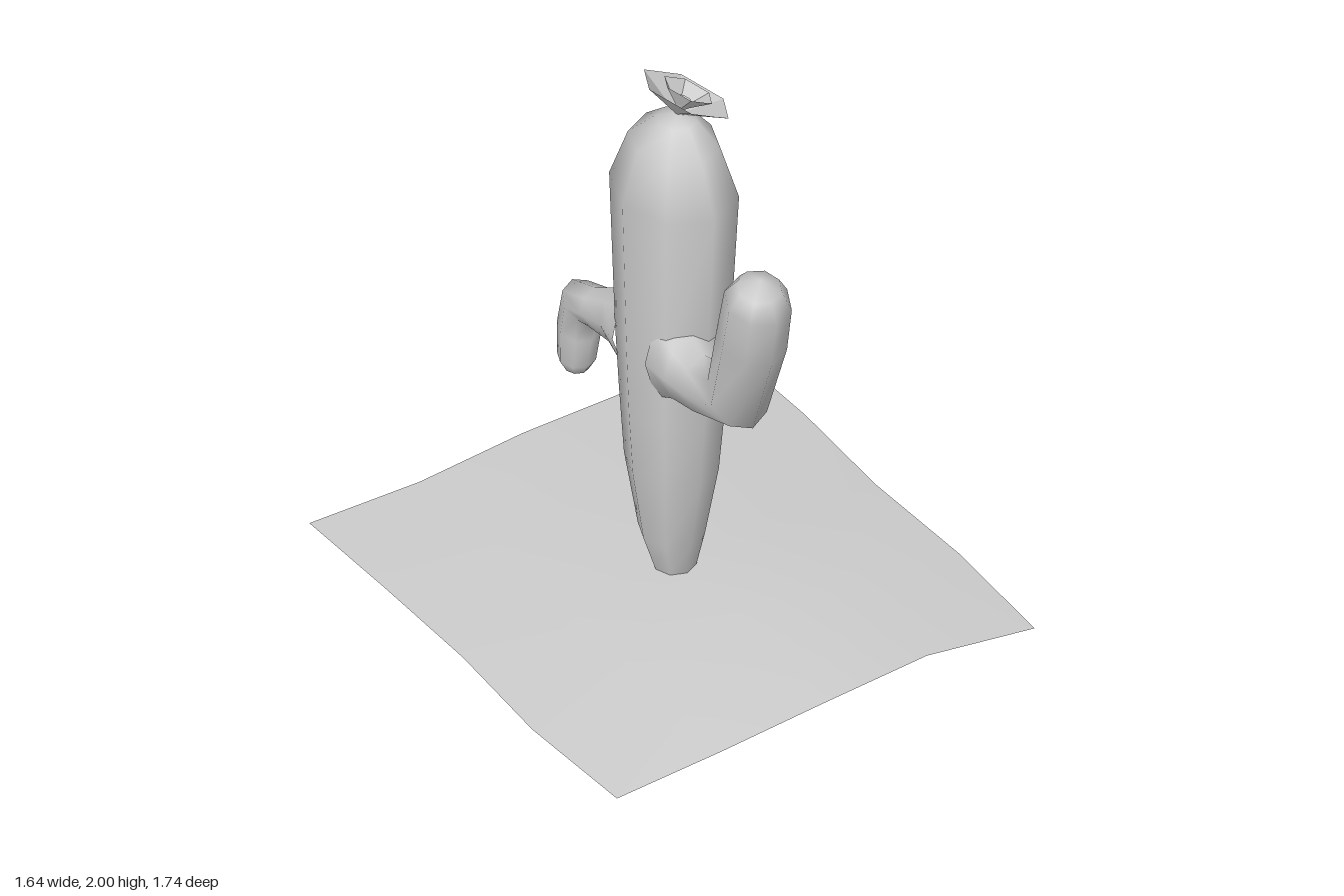
import * as THREE from 'three';
import { mergeVertices } from 'three/addons/utils/BufferGeometryUtils.js';

const material = new THREE.MeshStandardMaterial({ color: 0xcccccc });
const sheetMaterial = new THREE.MeshStandardMaterial({ color: 0xcccccc, side: THREE.DoubleSide });
const petalMaterial = new THREE.MeshStandardMaterial({ color: 0xcccccc, side: THREE.DoubleSide, flatShading: true });

// Eight-sided smooth limb through sections [x, y, z, halfWidthX, halfWidthAcross].
// The path bends in the y-z plane; an upright limb keeps its rings level.
function limb(name, sections, upright = false, sides = 8) {
  const positions = [], index = [];
  const last = sections.length - 1;
  sections.forEach(([x, y, z, rx, rn], i) => {
    const a = sections[Math.max(i - 1, 0)], b = sections[Math.min(i + 1, last)];
    const t = upright ? new THREE.Vector2(1, 0) : new THREE.Vector2(b[1] - a[1], b[2] - a[2]).normalize();
    for (let j = 0; j < sides; j++) {
      const angle = (j / sides) * Math.PI * 2;
      const u = Math.cos(angle) * rx, v = Math.sin(angle) * rn;
      positions.push(x + u, y + v * t.y, z - v * t.x);
      if (i < last) {
        const k = (j + 1) % sides;
        const p = i * sides + j, q = i * sides + k;
        if (rx > 0) index.push(p, q, q + sides);
        if (sections[i + 1][3] > 0) index.push(p, q + sides, p + sides);
      }
    }
  });
  let geometry = new THREE.BufferGeometry();
  geometry.setAttribute('position', new THREE.Float32BufferAttribute(positions, 3));
  geometry.setIndex(index);
  geometry = mergeVertices(geometry, 1e-5);
  geometry.computeVertexNormals();
  const mesh = new THREE.Mesh(geometry, material);
  mesh.name = name;
  return mesh;
}

// Gently humped patch of sand with wavy edges
function ground() {
  const heights = [
    [0.01, 0.03, 0.05, 0.05, 0.04],
    [0.02, 0.05, 0.08, 0.08, 0.05],
    [0.02, 0.06, 0.10, 0.09, 0.05],
    [0.02, 0.07, 0.11, 0.09, 0.03],
    [0.005, 0.02, 0.04, 0.05, 0.0],
  ];
  const left = [-0.82, -0.81, -0.8, -0.82, -0.78], right = [0.77, 0.78, 0.77, 0.81, 0.82];
  const back = [-0.87, -0.84, -0.855, -0.86, -0.875], front = [0.865, 0.855, 0.84, 0.82, 0.83];
  const geometry = new THREE.PlaneGeometry(2, 2, 4, 4);
  const p = geometry.attributes.position;
  for (let i = 0; i < p.count; i++) {
    const c = i % 5, r = Math.floor(i / 5);
    p.setXYZ(i,
      THREE.MathUtils.lerp(left[r], right[r], c / 4),
      heights[r][c],
      THREE.MathUtils.lerp(back[c], front[c], r / 4));
  }
  geometry.computeVertexNormals();
  const mesh = new THREE.Mesh(geometry, sheetMaterial);
  mesh.name = 'ground';
  return mesh;
}

// Six-sided petal cup turned from a short profile
function cup(name, profile) {
  const points = profile.map(([r, y]) => new THREE.Vector2(r, y));
  const mesh = new THREE.Mesh(new THREE.LatheGeometry(points, 6, Math.PI / 2), petalMaterial);
  mesh.name = name;
  return mesh;
}

export function createModel() {
  const model = new THREE.Group();
  model.name = 'cactus';

  model.add(ground());

  model.add(limb('trunk', [
    [-0.02, 0, 0.02, 0, 0],
    [-0.02, 0.03, 0.02, 0.045, 0.045],
    [-0.02, 0.1, 0.02, 0.07, 0.08],
    [-0.025, 0.23, 0.015, 0.105, 0.115],
    [-0.025, 0.5, 0.015, 0.145, 0.168],
    [-0.022, 0.75, 0.015, 0.163, 0.187],
    [-0.017, 1.0, 0.008, 0.173, 0.207],
    [-0.005, 1.58, 0, 0.195, 0.235],
    [-0.005, 1.76, 0, 0.14, 0.165],
    [0.005, 1.84, 0, 0.065, 0.07],
    [0.005, 1.86, 0, 0, 0],
  ], true));

  // Large arm rising at the front, flared where it leaves the trunk
  model.add(limb('frontArm', [
    [-0.05, 1.0, 0.1, 0.13, 0.2],
    [-0.06, 1.0, 0.2, 0.115, 0.125],
    [-0.07, 1.005, 0.3, 0.1, 0.1],
    [-0.08, 1.077, 0.485, 0.1, 0.115],
    [-0.095, 1.385, 0.595, 0.113, 0.12],
    [-0.105, 1.57, 0.645, 0.11, 0.113],
    [-0.11, 1.635, 0.662, 0.075, 0.075],
    [-0.11, 1.667, 0.668, 0, 0],
  ]));

  // Small arm drooping at the back
  model.add(limb('backArm', [
    [-0.05, 0.95, -0.12, 0.11, 0.16],
    [-0.06, 0.94, -0.22, 0.085, 0.1],
    [-0.07, 0.9, -0.34, 0.07, 0.068],
    [-0.07, 0.867, -0.435, 0.068, 0.075],
    [-0.07, 0.75, -0.455, 0.07, 0.075],
    [-0.07, 0.625, -0.47, 0.062, 0.066],
    [-0.07, 0.58, -0.468, 0.038, 0.042],
    [-0.07, 0.558, -0.465, 0, 0],
  ]));

  // Tilted flower of nested cups
  const flower = new THREE.Group();
  flower.name = 'flower';
  flower.add(
    cup('outerPetals', [[0, 0], [0.16, 0.075]]),
    cup('innerPetals', [[0, 0.01], [0.03, 0.04], [0.09, 0.09]]),
    cup('flowerCentre', [[0.03, 0.04], [0.025, 0.06], [0, 0.05]]),
  );
  flower.position.set(0.005, 1.855, 0);
  flower.rotation.z = -0.5;
  model.add(flower);

  return model;
}
